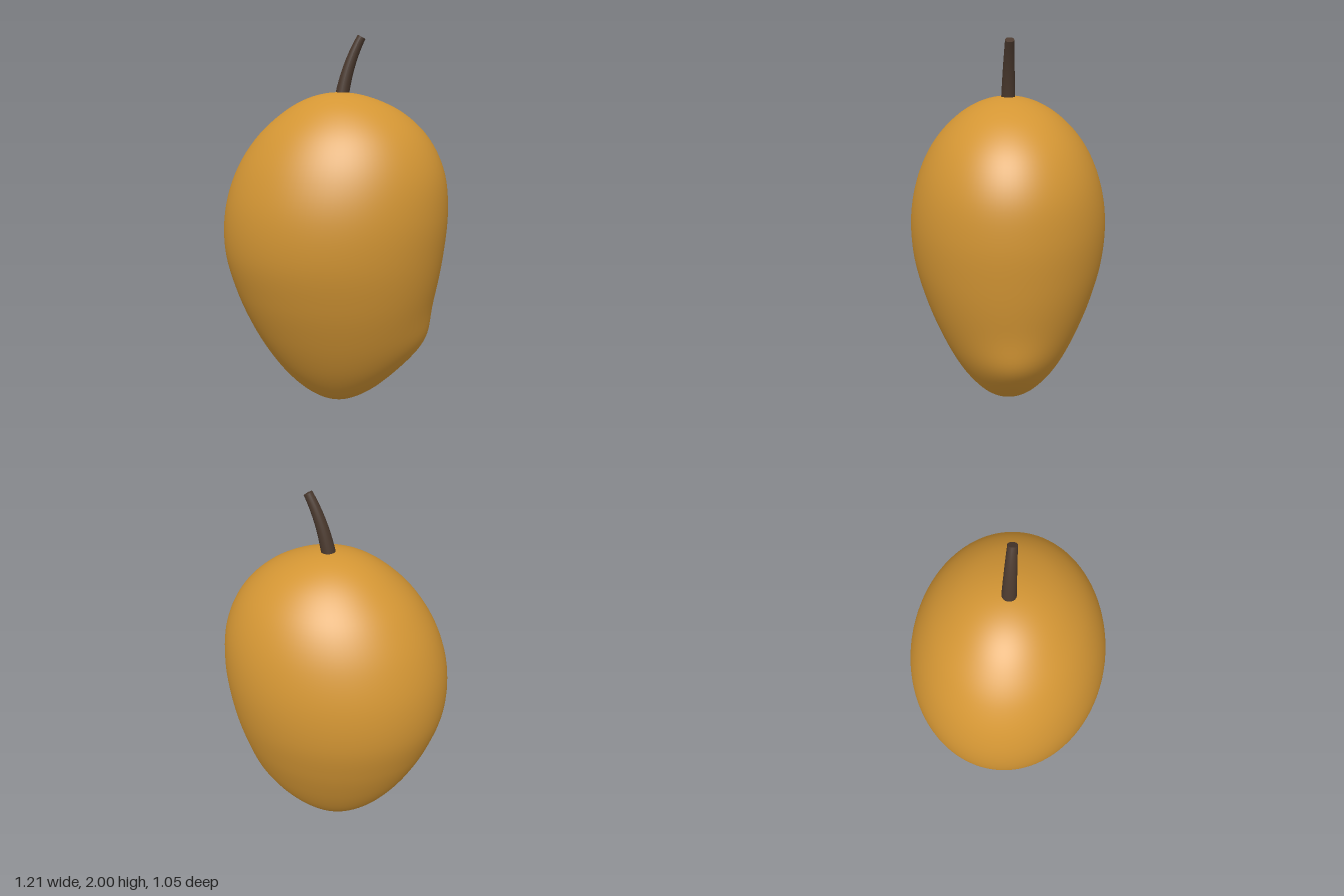
import * as THREE from 'three';
import { mergeVertices } from 'three/addons/utils/BufferGeometryUtils.js';

// Fruit cross-sections from bottom to top: [left x, right x, half depth]
const SECTIONS = [
  [0.02, 0.02, 0], [-0.1, 0.132, 0.1], [-0.225, 0.262, 0.193], [-0.345, 0.383, 0.289],
  [-0.455, 0.479, 0.378], [-0.545, 0.548, 0.457], [-0.603, 0.588, 0.512], [-0.6, 0.606, 0.52],
  [-0.54, 0.585, 0.48], [-0.432, 0.505, 0.4], [-0.29, 0.37, 0.284], [-0.14, 0.195, 0.148],
  [0.02, 0.02, 0],
];

function fruitGeometry(rings = 80, sides = 96) {
  const curve = new THREE.CatmullRomCurve3(
    SECTIONS.map((s) => new THREE.Vector3(...s)), false, 'catmullrom', 0.5);
  const positions = [];
  const index = [];
  for (let i = 0; i <= rings; i++) {
    const t = i / rings;
    const s = curve.getPoint(t);
    const y = 0.857 - 0.852 * Math.cos(t * Math.PI);
    for (let j = 0; j < sides; j++) {
      const a = (j / sides) * Math.PI * 2;
      const z = s.z * Math.sin(a);
      let x = (s.x + s.y) / 2 + ((s.y - s.x) / 2) * Math.cos(a);
      // soft beak low on one side
      if (x > 0.02) {
        x += 0.045 * Math.max(0, Math.cos(a))
          * Math.exp(-(((y - 0.37) / 0.15) ** 2) - (z / 0.24) ** 2);
      }
      positions.push(x, y, z);
      if (i < rings) {
        const p = i * sides + j;
        const q = i * sides + ((j + 1) % sides);
        index.push(p, p + sides, q, q, p + sides, q + sides);
      }
    }
  }
  const geometry = new THREE.BufferGeometry();
  geometry.setAttribute('position', new THREE.Float32BufferAttribute(positions, 3));
  geometry.setIndex(index);
  const merged = mergeVertices(geometry, 1e-5);
  merged.computeVertexNormals();
  return merged;
}

// Tapered cylinder bent along a curve in the x-y plane
function stemGeometry() {
  const path = new THREE.QuadraticBezierCurve3(
    new THREE.Vector3(0.03, 1.66, 0),
    new THREE.Vector3(0.06, 1.85, 0),
    new THREE.Vector3(0.138, 1.992, 0));
  const geometry = new THREE.CylinderGeometry(0.023, 0.038, 1, 20, 14);
  const pos = geometry.attributes.position;
  for (let i = 0; i < pos.count; i++) {
    const t = THREE.MathUtils.clamp(pos.getY(i) + 0.5, 0, 1);
    const c = path.getPoint(t);
    const d = path.getTangent(t);
    const r = pos.getX(i);
    pos.setXYZ(i, c.x + r * d.y, c.y - r * d.x, pos.getZ(i));
  }
  geometry.computeVertexNormals();
  return geometry;
}

export function createModel() {
  const skin = new THREE.MeshStandardMaterial({ color: 0xd49634 });
  skin.name = 'golden skin';
  const bark = new THREE.MeshStandardMaterial({ color: 0x4a392e });
  bark.name = 'dark brown stem';

  const group = new THREE.Group();
  group.name = 'fruit';
  const add = (name, geometry, material) => {
    const mesh = new THREE.Mesh(geometry, material);
    mesh.name = name;
    group.add(mesh);
    return mesh;
  };

  add('body', fruitGeometry(), skin);
  add('stem', stemGeometry(), bark);
  // small dark scar at the bottom tip
  add('blossomScar', new THREE.CylinderGeometry(0.016, 0.013, 0.01, 12), bark)
    .position.set(0.02, 0.006, 0);
  return group;
}
